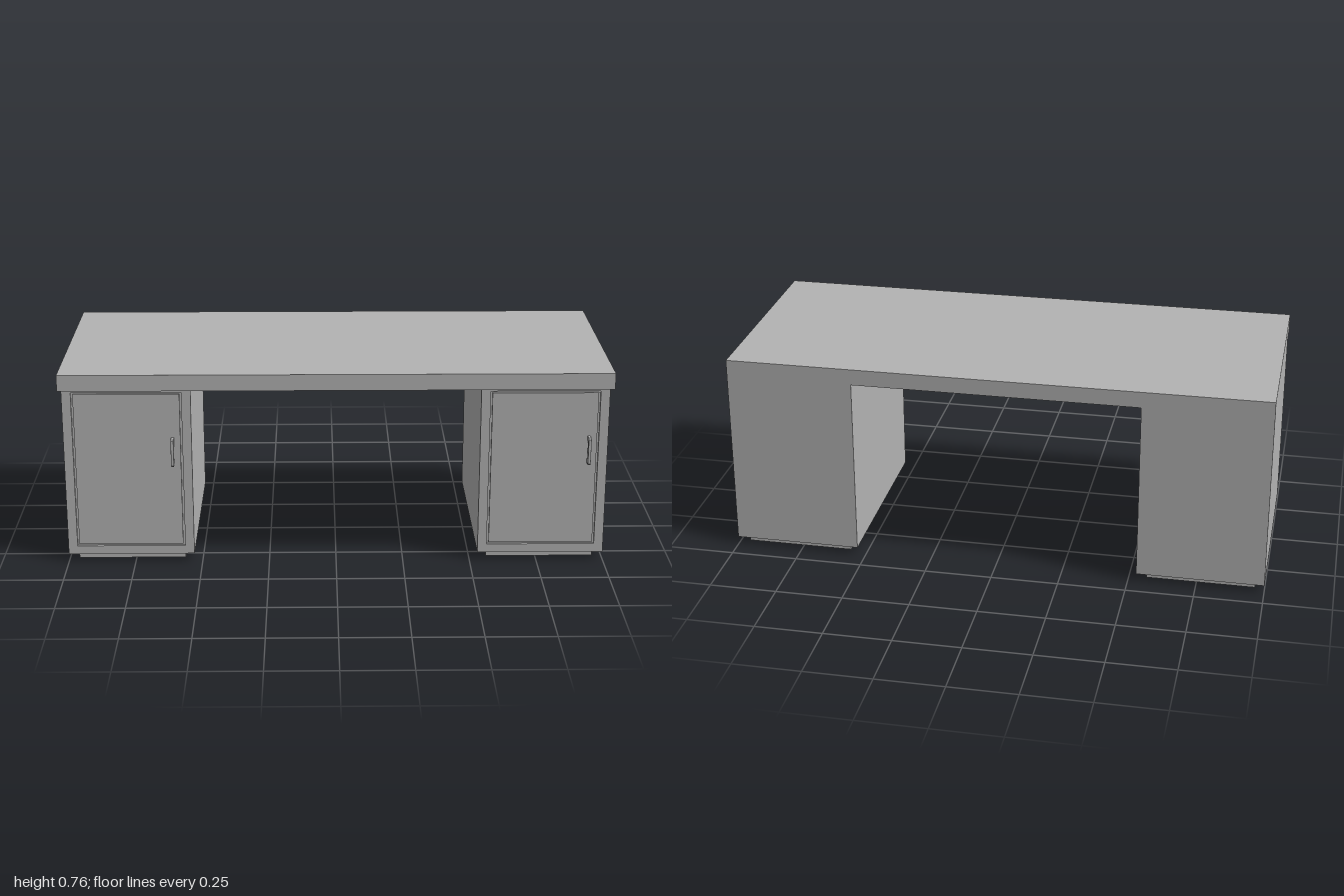
import * as THREE from 'three';

const grey = new THREE.MeshStandardMaterial({ color: 0xb2b2b2 });
grey.name = 'grey';
const greySheet = new THREE.MeshStandardMaterial({ color: 0xb2b2b2, side: THREE.DoubleSide });
greySheet.name = 'grey sheet';

function part(name, geometry, x = 0, y = 0, z = 0, material = grey) {
  const mesh = new THREE.Mesh(geometry, material);
  mesh.name = name;
  mesh.position.set(x, y, z);
  return mesh;
}

// Box given by its lower and upper bounds
function box(name, x0, x1, y0, y1, z0, z1) {
  return part(name, new THREE.BoxGeometry(x1 - x0, y1 - y0, z1 - z0),
    (x0 + x1) / 2, (y0 + y1) / 2, (z0 + z1) / 2);
}

function rectPoints(x0, x1, y0, y1) {
  return [[x0, y0], [x1, y0], [x1, y1], [x0, y1]].map(([x, y]) => new THREE.Vector2(x, y));
}

// Rectangular ring extruded along +z
function ring(outer, inner, depth) {
  const shape = new THREE.Shape(rectPoints(...outer));
  shape.holes.push(new THREE.Path(rectPoints(...inner).reverse()));
  return new THREE.ExtrudeGeometry(shape, { depth, bevelEnabled: false });
}

// C-shaped pull, drawn with outward distance along x and height along y
function pullGeometry() {
  const b = 0.002;
  const outline = [[0, 0.387], [0.026, 0.387], [0.030, 0.391], [0.030, 0.484], [0.026, 0.488], [0, 0.488],
    [0, 0.474], [0.011, 0.474], [0.014, 0.471], [0.014, 0.404], [0.011, 0.401], [0, 0.401]];
  const shape = new THREE.Shape(outline.map(([x, y]) => new THREE.Vector2(x, y)));
  const g = new THREE.ExtrudeGeometry(shape,
    { depth: 0.007, bevelThickness: b, bevelSize: b, bevelSegments: 2 });
  g.translate(0, 0, -0.0035);
  g.rotateY(-Math.PI / 2);
  return g;
}

// Pedestal centred on its own x = 0
function pedestal() {
  const group = new THREE.Group();

  // hollow carcass, open underneath
  const carcass = ring([-0.235, 0.235, -0.315, 0.425], [-0.2, 0.2, -0.29, 0.39], 0.67);
  carcass.rotateX(-Math.PI / 2);
  group.add(part('cabinetWalls', carcass, 0, 0.03, 0));

  // front frame and door, separated by a narrow groove
  group.add(part('doorFrame',
    ring([-0.235, 0.235, 0.03, 0.70], [-0.201, 0.201, 0.062, 0.663], 0.01), 0, 0, 0.315));
  group.add(box('door', -0.194, 0.194, 0.069, 0.656, 0.315, 0.325));
  group.add(part('doorHandle', pullGeometry(), 0.165, 0, 0.325));

  // thin plinth skirt, open above and below
  const skirt = new THREE.CylinderGeometry(Math.SQRT1_2, Math.SQRT1_2, 0.03, 4, 1, true, Math.PI / 4).toNonIndexed();
  skirt.scale(0.4, 1, 0.68);
  skirt.computeVertexNormals();
  group.add(part('plinth', skirt, 0, 0.015, -0.05, greySheet));

  // inner compartment seen through the open bottom
  group.add(box('innerCompartment', -0.165, 0.165, 0.03, 0.66, -0.08, 0.28));
  return group;
}

export function createModel() {
  const desk = new THREE.Group();
  desk.name = 'desk';
  desk.add(box('desktop', -1, 1, 0.70, 0.76, -0.425, 0.425));
  for (const [name, x] of [['leftPedestal', 0.765], ['rightPedestal', -0.765]]) {
    const p = pedestal();
    p.name = name;
    p.position.x = x;
    desk.add(p);
  }
  return desk;
}
